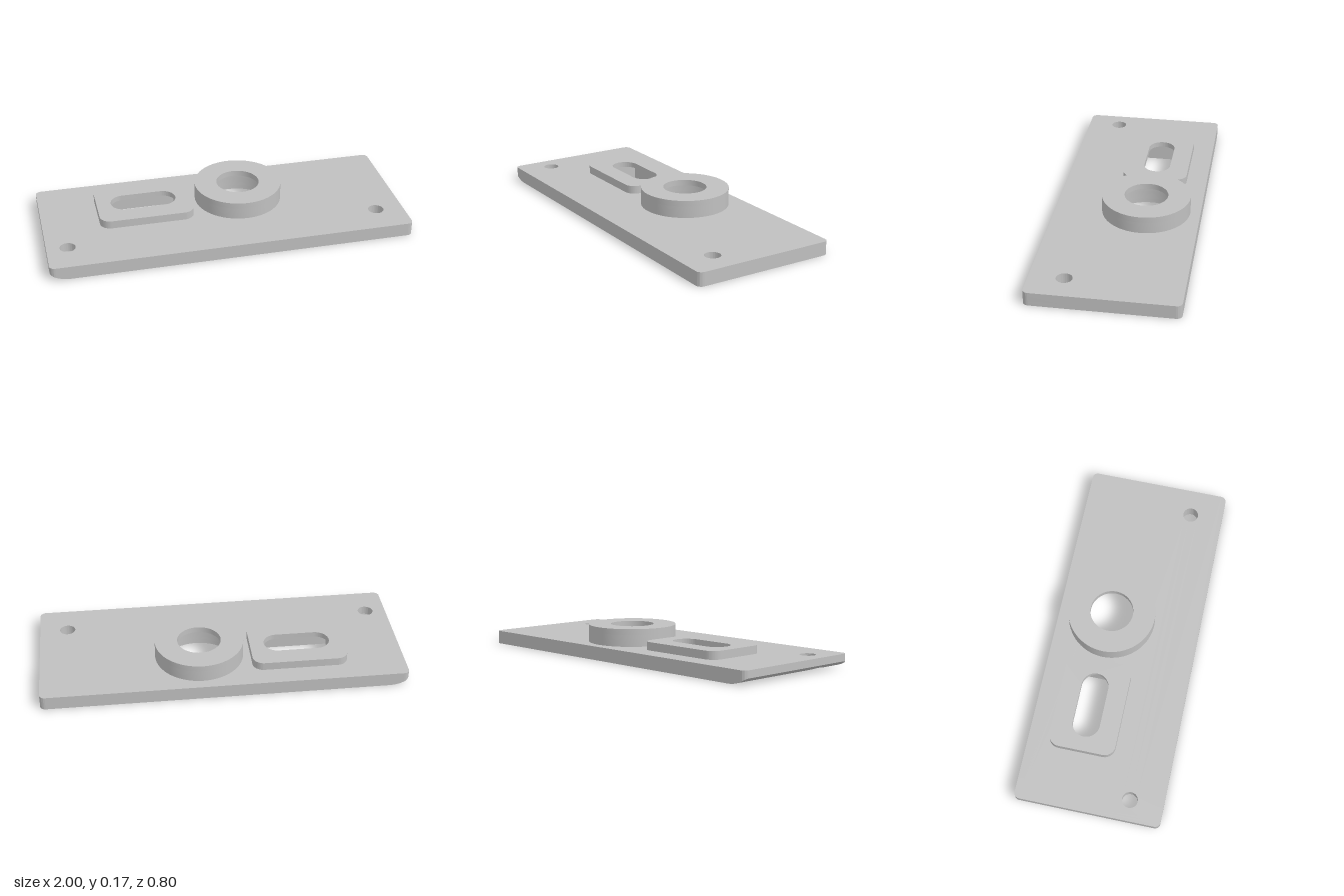
import * as THREE from 'three';
import { toCreasedNormals } from 'three/addons/utils/BufferGeometryUtils.js';

const metal = new THREE.MeshStandardMaterial({ color: 0xc0c0c0 });
metal.name = 'grey metal';

// Outlines are given in plan: centre x, z (shape y is -z)
function roundedRect(x, z, w, d, r, Type = THREE.Shape) {
  const p = new Type(), a = w / 2 - r, b = d / 2 - r, y = -z;
  p.moveTo(x - a, y - b - r);
  p.absarc(x + a, y - b, r, -Math.PI / 2, 0);
  p.absarc(x + a, y + b, r, 0, Math.PI / 2);
  p.absarc(x - a, y + b, r, Math.PI / 2, Math.PI);
  p.absarc(x - a, y - b, r, Math.PI, Math.PI * 1.5);
  p.closePath();
  return p;
}

function rect(x, z, w, d) {
  return new THREE.Path([[-1, -1], [1, -1], [1, 1], [-1, 1], [-1, -1]]
    .map(([i, j]) => new THREE.Vector2(x + i * w / 2, -z + j * d / 2)));
}

function circle(x, z, r, Type = THREE.Path) {
  const p = new Type();
  p.absarc(x, -z, r, 0, Math.PI * 2);
  return p;
}

// Upright slab from y0 to y1 with through holes
function slab(outline, holes, y0, y1) {
  outline.holes = holes;
  const g = new THREE.ExtrudeGeometry(outline, { depth: y1 - y0, bevelEnabled: false, curveSegments: 32 });
  g.rotateX(-Math.PI / 2);
  g.translate(0, y0, 0);
  return g;
}

// Cut every triangle along the plane x = c, keeping its winding
function splitAtX(triangles, c) {
  const out = [];
  for (const tri of triangles) {
    for (const side of [-1, 1]) {
      const poly = [];
      tri.forEach((a, i) => {
        const b = tri[(i + 1) % 3];
        const da = (a.x - c) * side, db = (b.x - c) * side;
        if (da >= 0) poly.push(a);
        if (da * db < 0) poly.push(a.clone().lerp(b, da / (da - db)));
      });
      for (let i = 1; i + 1 < poly.length; i++) out.push([poly[0], poly[i], poly[i + 1]]);
    }
  }
  return out;
}

// Round the underside upwards towards the -x end
const curveStart = -0.89, curveRadius = 0.19;
function roundUnderside(geometry) {
  const g = geometry.index ? geometry.toNonIndexed() : geometry;
  const pos = g.attributes.position;
  let tris = [];
  for (let i = 0; i < pos.count; i += 3) {
    tris.push([0, 1, 2].map((k) => new THREE.Vector3().fromBufferAttribute(pos, i + k)));
  }
  for (let i = 0; i < 8; i++) tris = splitAtX(tris, curveStart - i * 0.01375);
  const points = tris.flat().map((p) => {
    const d = Math.max(0, curveStart - p.x);
    const lift = curveRadius - Math.sqrt(curveRadius ** 2 - d * d);
    return new THREE.Vector3(p.x, Math.max(p.y, lift), p.z);
  });
  return new THREE.BufferGeometry().setFromPoints(points);
}

export function createModel() {
  const group = new THREE.Group();
  const add = (name, geometry) => {
    const mesh = new THREE.Mesh(toCreasedNormals(geometry, 0.5), metal);
    mesh.name = name;
    group.add(mesh);
  };

  const ring = [0.122, -0.1], pad = [-0.422, -0.102];
  const boltA = [-0.885, 0.215], boltB = [0.845, 0.215];
  const bore = () => circle(...ring, 0.21);
  const pocket = () => rect(...pad, 0.39, 0.245);
  const plate = () => roundedRect(0, 0, 2, 0.8, 0.03);

  // Base plate: the lower layer carries the counterbore of one bolt hole
  add('basePlateLower', roundUnderside(slab(plate(),
    [circle(...boltA, 0.083), circle(...boltB, 0.043), bore(), pocket()], 0, 0.025)));
  add('basePlateUpper', roundUnderside(slab(plate(),
    [circle(...boltA, 0.043), circle(...boltB, 0.043), bore(), pocket()], 0.025, 0.075)));

  // Slotted pad, hollow underneath
  const padOutline = () => roundedRect(...pad, 0.525, 0.366, 0.06);
  add('padWall', slab(padOutline(), [pocket()], 0.075, 0.09));
  add('padTop', slab(padOutline(), [roundedRect(...pad, 0.366, 0.15, 0.0749, THREE.Path)], 0.09, 0.12));

  // Round boss, bored out from below
  const boss = () => circle(...ring, 0.244, THREE.Shape);
  add('bossWall', slab(boss(), [bore()], 0.075, 0.14));
  add('bossTop', slab(boss(), [circle(...ring, 0.12)], 0.14, 0.172));

  return group;
}
